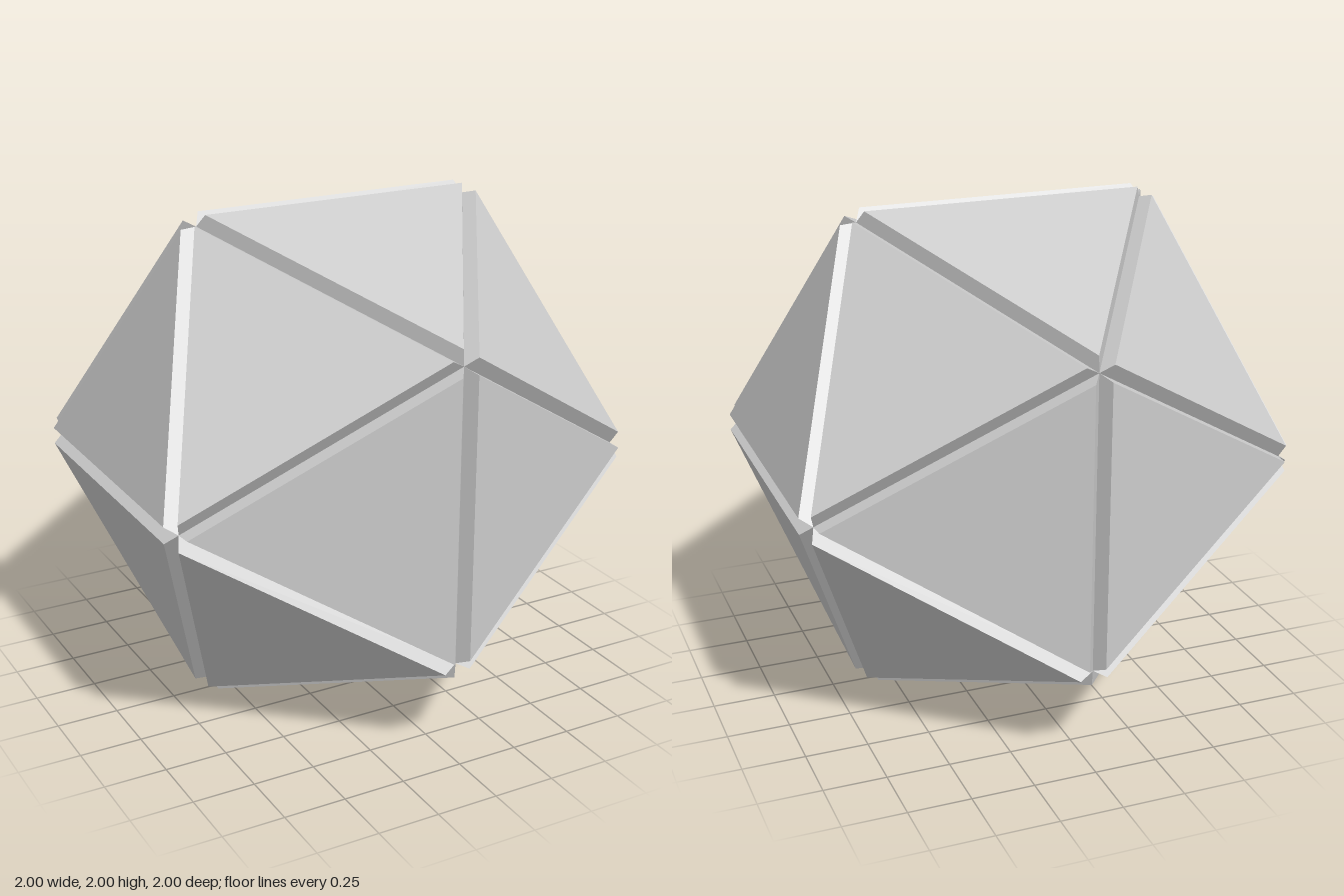
import * as THREE from 'three';

const RADIUS = 1.1184; // icosahedron circumradius
const INSET = 0.96;    // outer triangle size relative to its base
const HEIGHT = 0.057;  // how far each panel stands out

// One raised panel: an inset triangle lifted off its base, with three sloping sides
function panelGeometry(base) {
  const centre = new THREE.Vector3();
  base.forEach(v => centre.addScaledVector(v, 1 / 3));
  const lift = centre.clone().setLength(HEIGHT);
  const outer = base.map(v => centre.clone().lerp(v, INSET).add(lift));
  const points = [...outer];
  for (let i = 0; i < 3; i++) {
    const j = (i + 1) % 3;
    points.push(base[i], base[j], outer[j], base[i], outer[j], outer[i]);
  }
  const geometry = new THREE.BufferGeometry().setFromPoints(points);
  geometry.computeVertexNormals();
  return geometry;
}

export function createModel() {
  const model = new THREE.Group();
  model.name = 'panelledIcosahedron';
  const material = new THREE.MeshStandardMaterial({ color: 0xcccccc, flatShading: true });

  // A panel on each of the twenty faces; neighbours meet along the groove bottoms
  const corners = new THREE.IcosahedronGeometry(RADIUS, 0).getAttribute('position');
  for (let i = 0; i < corners.count; i += 3) {
    const base = [0, 1, 2].map(k => new THREE.Vector3().fromBufferAttribute(corners, i + k));
    const panel = new THREE.Mesh(panelGeometry(base), material);
    panel.name = `trianglePanel${i / 3 + 1}`;
    panel.position.y = 1;
    model.add(panel);
  }
  return model;
}
